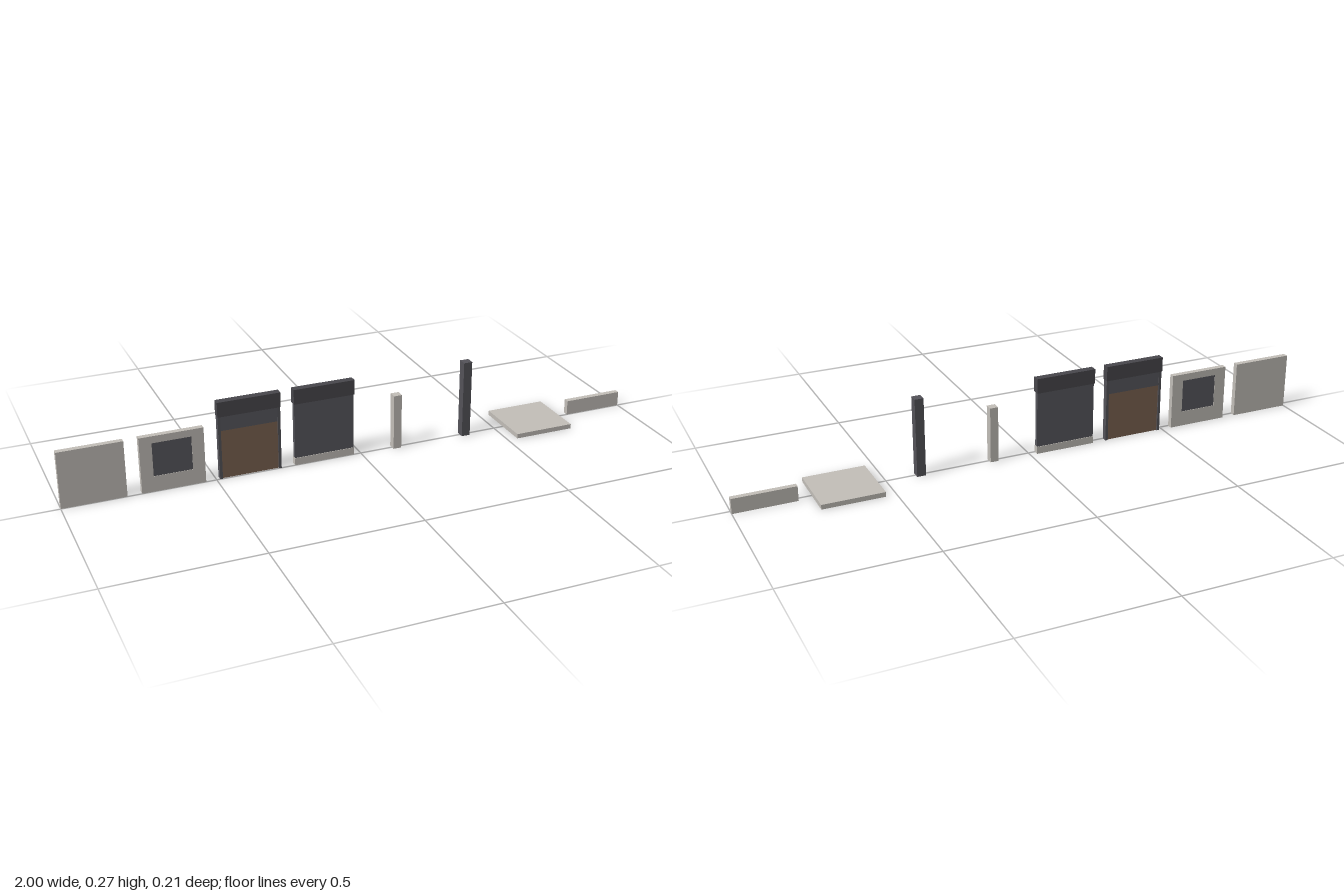
import * as THREE from 'three';

const mat = (color) => new THREE.MeshStandardMaterial({ color, flatShading: true });

export function createModel() {
  const root = new THREE.Group();
  const stone = mat(0xc4c0ba), glass = mat(0x58585e), metal = mat(0x55545a);
  const trim = mat(0x49484d), wood = mat(0x7c6352);

  const W = 0.209, T = 0.019, MID = -T / 2;
  const PITCH = 0.2558;

  // One group per kit piece, evenly spaced along x
  const piece = (name, slot) => {
    const g = new THREE.Group();
    g.name = name;
    g.position.x = (slot - 3.5) * PITCH;
    root.add(g);
    return g;
  };
  // Box spanning y0..y1, centred on x and z
  const box = (parent, name, material, w, y0, y1, d, x = 0, z = MID) => {
    const m = new THREE.Mesh(new THREE.BoxGeometry(w, y1 - y0, d), material);
    m.name = name;
    m.position.set(x, (y0 + y1) / 2, z);
    parent.add(m);
  };

  // Plain wall
  box(piece('plainWall', 0), 'wallPanel', stone, W, 0, 0.192, T);

  // Wall with a window opening and pane
  const win = piece('windowWall', 1);
  const shape = new THREE.Shape([[-W / 2, 0], [W / 2, 0], [W / 2, 0.192], [-W / 2, 0.192]]
    .map(([x, y]) => new THREE.Vector2(x, y)));
  shape.holes.push(new THREE.Path([[-0.064, 0.053], [-0.064, 0.168], [0.064, 0.168], [0.064, 0.053]]
    .map(([x, y]) => new THREE.Vector2(x, y))));
  const wall = new THREE.Mesh(
    new THREE.ExtrudeGeometry(shape, { depth: T, bevelEnabled: false }).translate(0, 0, -T), stone);
  wall.name = 'wallPanel';
  win.add(wall);
  box(win, 'windowPane', glass, 0.128, 0.053, 0.168, T - 0.003);

  // Doorway: jambs, recessed door, transom and header band
  const door = piece('doorway', 2);
  for (const s of [-1, 1]) box(door, 'doorJamb', metal, 0.009, 0, 0.218, T, s * (W / 2 - 0.0045));
  box(door, 'doorLeaf', wood, W - 0.018, 0, 0.168, 0.01);
  box(door, 'transom', glass, W - 0.018, 0.168, 0.218, 0.016);
  box(door, 'headerBand', trim, W + 0.002, 0.218, 0.269, 0.025);

  // Display front: kick plate, glazing and header band
  const display = piece('displayFront', 3);
  box(display, 'kickPlate', stone, W, 0, 0.025, T);
  box(display, 'glazing', glass, W - 0.002, 0.025, 0.218, 0.015);
  box(display, 'headerBand', trim, W + 0.002, 0.218, 0.269, 0.025);

  // Corner posts
  box(piece('shortPost', 4), 'post', stone, 0.028, 0, 0.192, 0.028, 0, 0);
  box(piece('tallPost', 5), 'post', metal, 0.03, 0, 0.269, 0.03, 0, 0);

  // Floor slab and low parapet
  box(piece('floorTile', 6), 'slab', stone, W, 0, 0.016, W, 0, 0);
  box(piece('parapet', 7), 'lowWall', stone, W, 0, 0.051, T);

  return root;
}
